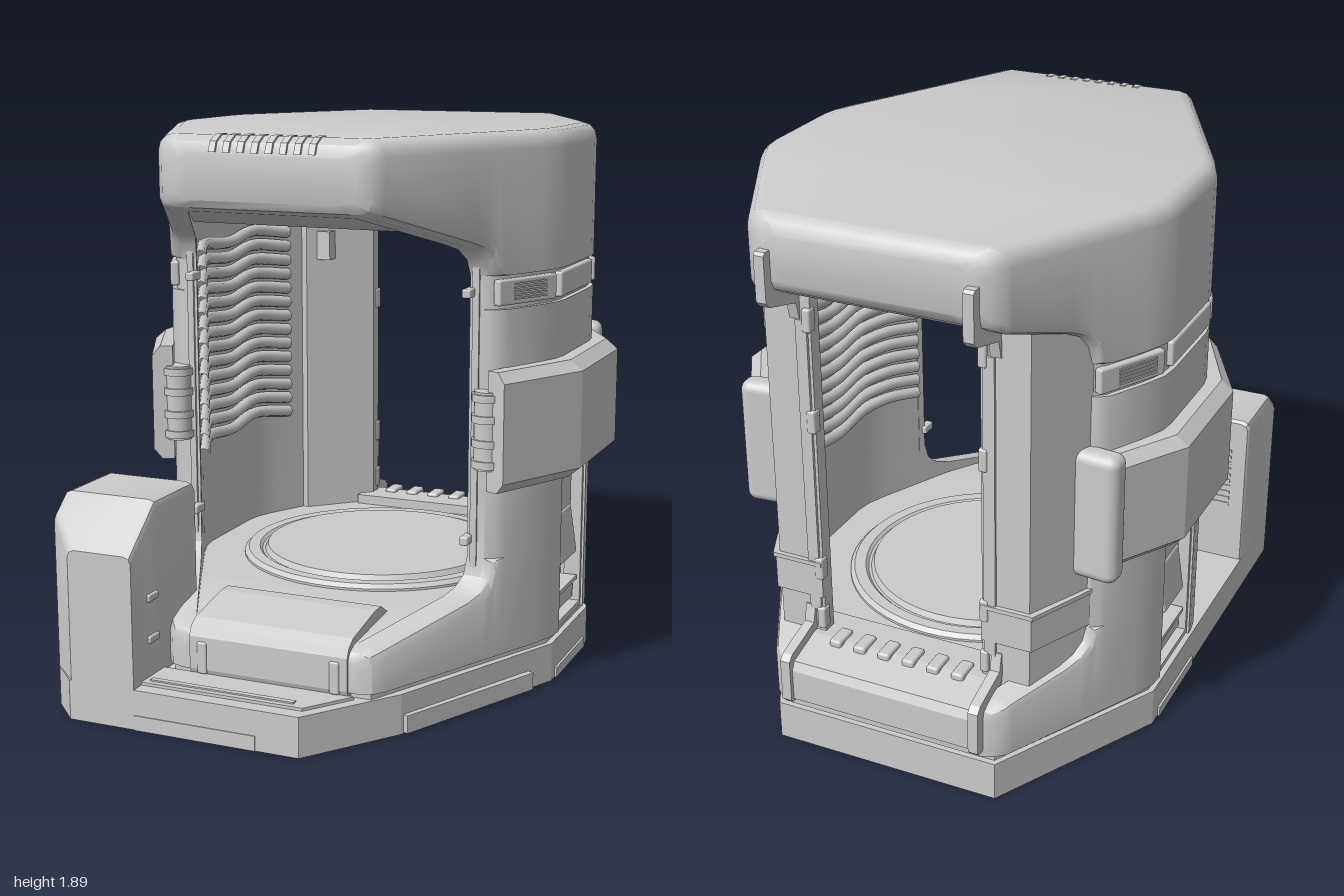
import * as THREE from 'three';
import { toCreasedNormals } from 'three/addons/utils/BufferGeometryUtils.js';
import { RoundedBoxGeometry } from 'three/addons/geometries/RoundedBoxGeometry.js';

const material = new THREE.MeshStandardMaterial({ color: 0xcccccc, roughness: 0.7 });

// Piecewise linear lookup in a table of [z, value], z descending
function at(table, z) {
  if (z >= table[0][0]) return table[0][1];
  for (let i = 1; i < table.length; i++) {
    const [z0, a] = table[i - 1], [z1, b] = table[i];
    if (z >= z1) return a + (b - a) * (z0 - z) / (z0 - z1);
  }
  return table[table.length - 1][1];
}

// Body half width, hood rim, hood top, lower rim and rim chamfer along z
const WIDTH = [[0.8, 0.31], [0.785, 0.355], [0.75, 0.385], [0.14, 0.678], [0.06, 0.71], [0, 0.72],
  [-0.31, 0.72], [-0.37, 0.712], [-0.45, 0.677], [-0.92, 0.425], [-0.95, 0.39], [-0.965, 0.35]];
const HOOD_RIM = [[0.8, 1.685], [0.785, 1.66], [0.75, 1.645], [0.41, 1.535], [0.36, 1.515], [0.325, 1.48], [0.31, 1.43],
  [-0.6, 1.43], [-0.615, 1.49], [-0.65, 1.535], [-0.7, 1.56], [-0.9, 1.62], [-0.95, 1.65], [-0.965, 1.68]];
const HOOD_TOP = [[0.8, 1.83], [0.785, 1.865], [0.75, 1.885], [-0.92, 1.885], [-0.95, 1.865], [-0.965, 1.83]];
const LOW_RIM = [[0.8, 0.265], [0.785, 0.285], [0.75, 0.3], [0.41, 0.375], [0.36, 0.395], [0.325, 0.43], [0.31, 0.49], [0.3099, 0.73],
  [-0.5999, 0.73], [-0.6, 0.49], [-0.615, 0.44], [-0.65, 0.405], [-0.7, 0.385], [-0.9, 0.345], [-0.95, 0.325], [-0.965, 0.3]];
const CHAMFER = [[0.31, 0.04], [0.295, 0.016], [0.27, 0], [-0.57, 0], [-0.585, 0.01], [-0.6, 0.025]];
const width = z => at(WIDTH, z);
const stations = (...tables) => [...new Set(tables.flat().map(p => p[0]))].sort((a, b) => a - b);

// Capped solid through rings of [x, y, z]
function loft(rings, crease = 0.6) {
  const n = rings[0].length, idx = [], pos = rings.flat(2);
  for (let k = 0; k < rings.length - 1; k++) for (let i = 0; i < n; i++) {
    const j = (i + 1) % n, a = k * n + i, b = k * n + j, c = b + n, d = a + n;
    idx.push(a, b, c, a, c, d);
  }
  [[0, true], [rings.length - 1, false]].forEach(([k, back]) => {
    const flat = rings[k].map(p => new THREE.Vector2(p[0], p[1]));
    const sign = Math.sign(THREE.ShapeUtils.area(flat));
    for (const t of THREE.ShapeUtils.triangulateShape(flat, [])) {
      const same = Math.sign(THREE.ShapeUtils.area(t.map(i => flat[i]))) === sign;
      const [a, b, c] = t.map(i => i + k * n);
      if (same !== back) idx.push(a, b, c); else idx.push(a, c, b);
    }
  });
  // Turn the faces outward when the enclosed volume is negative
  const v = i => new THREE.Vector3().fromArray(pos, i * 3);
  let volume = 0;
  for (let i = 0; i < idx.length; i += 3) volume += v(idx[i]).dot(v(idx[i + 1]).cross(v(idx[i + 2])));
  if (volume < 0) idx.reverse();
  const g = new THREE.BufferGeometry();
  g.setAttribute('position', new THREE.Float32BufferAttribute(pos, 3));
  g.setIndex(idx);
  return toCreasedNormals(g, crease);
}

const box = (x0, x1, y0, y1, z0, z1) =>
  new THREE.BoxGeometry(x1 - x0, y1 - y0, z1 - z0).translate((x0 + x1) / 2, (y0 + y1) / 2, (z0 + z1) / 2);
const rounded = (w, h, d, r, x, y, z) => new RoundedBoxGeometry(w, h, d, 3, r).translate(x, y, z);
const shape = pts => new THREE.Shape(pts.map(p => new THREE.Vector2(...p)));
// Plan outline [x, z] raised from y0 to y1, with optional holes
const prism = (pts, y0, y1, holes = []) => {
  const s = shape(pts.map(([x, z]) => [x, -z]));
  s.holes.push(...holes);
  return new THREE.ExtrudeGeometry(s, { depth: y1 - y0, bevelEnabled: false, curveSegments: 28 }).rotateX(-Math.PI / 2).translate(0, y0, 0);
};
// Side outline [z, y] extruded from x0 to x1
const slab = (pts, x0, x1) => new THREE.ExtrudeGeometry(shape(pts),
  { depth: x1 - x0, bevelEnabled: false }).rotateY(-Math.PI / 2).translate(x1, 0, 0);
// Move a geometry (local x outward) onto the outer wall at z
function onWall(geo, z, y, out = 0) {
  const slope = (width(z + 0.01) - width(z - 0.01)) / 0.02;
  return geo.rotateY(Math.atan(slope)).translate(width(z) + out, y, z);
}
function mirrorX(geo) {
  const g = geo.index ? geo.toNonIndexed() : geo.clone();
  g.scale(-1, 1, 1);
  for (const a of Object.values(g.attributes)) for (let i = 0; i < a.count; i += 3) for (let c = 0; c < a.itemSize; c++) {
    const t = a.getComponent(i + 1, c);
    a.setComponent(i + 1, c, a.getComponent(i + 2, c));
    a.setComponent(i + 2, c, t);
  }
  return g;
}

export function createModel() {
  const model = new THREE.Group();
  const add = (name, geo) => {
    const m = new THREE.Mesh(geo, material);
    m.name = name;
    model.add(m);
  };
  const pair = (name, geo) => { add(name + 'Left', geo); add(name + 'Right', mirrorX(geo)); };
  const both = (half, z) => [...half, ...half.map(([x, y]) => [-x, y]).reverse()].map(([x, y]) => [x, y, z]);

  // Hood with rim sweeping down into the columns, hollow above the ceiling dish
  add('hood', loft(stations(WIDTH, HOOD_RIM, CHAMFER).map(z => {
    const w = width(z), rim = at(HOOD_RIM, z), top = at(HOOD_TOP, z), c = at(CHAMFER, z);
    const ceil = z <= 0.27 && z >= -0.57 ? 1.7 : Math.max(rim, 1.57);
    return both([[w - 0.1, ceil], [w - 0.1, rim], [w - c, rim], [w - c * 0.3, rim + c * 0.3], [w, rim + c], [w, top - 0.055],
      [w - 0.007, top - 0.027], [w - 0.027, top - 0.007], [w - 0.055, top]], z);
  })));
  for (let i = 0; i < 8; i++) {
    const x = -0.17 + i * 0.048;
    add('hoodVent', slab([[0.72, 1.888], [0.76, 1.886], [0.793, 1.868], [0.807, 1.835], [0.78, 1.835], [0.72, 1.87]], x - 0.011, x + 0.011));
  }

  // Lower body with a recessed bay in each side
  const bay = [[-0.0199], [-0.0201], [-0.3099], [-0.3101]];
  add('lowerBody', loft(stations(WIDTH, LOW_RIM, CHAMFER, bay).map(z => {
    const w = width(z), rim = at(LOW_RIM, z), floor = Math.min(rim, 0.33), c = at(CHAMFER, z), foot = Math.min(rim, 0.49);
    const o = z < -0.02 && z > -0.31 ? w - 0.085 : w;
    return both([[w - 0.1, floor], [w - 0.1, rim], [o - c, rim], [o - c, foot], [o - c * 0.3, foot - c * 0.3], [o, foot - c], [o, 0.155]], z);
  }), 0.5));

  // Side columns and the recessed seam band above them
  const wall = (inset, y0, y1) => loft([-0.6, -0.585, -0.57, -0.45, -0.37, -0.31, 0, 0.06, 0.14, 0.27, 0.295, 0.31].map(z => {
    const w = width(z), o = w - inset - at(CHAMFER, z);
    return [[w - 0.1, y0, z], [o, y0, z], [o, y1, z], [w - 0.1, y1, z]];
  }));
  pair('column', wall(0, 0.73, 1.32));
  pair('seamBand', wall(0.018, 1.32, 1.43));
  for (const [z, len] of [[0.185, 0.27], [-0.145, 0.36], [-0.49, 0.26]])
    pair('seamClip', onWall(new RoundedBoxGeometry(0.03, 0.085, len, 2, 0.008), z, 1.375, -0.014));
  for (const z of [0.185, -0.48]) for (let i = 0; i < 5; i++)
    pair('clipGrille', onWall(new THREE.BoxGeometry(0.012, 0.006, 0.15), z, 1.352 + i * 0.012, 0.002));

  // Base plate with pads
  add('base', prism([[-0.72, 0.9], [-0.62, 1], [0.2, 1], [0.42, 0.7], [0.72, 0.06], [0.72, -0.37], [0.4, -0.96],
    [-0.4, -0.96], [-0.72, -0.37]], 0, 0.135));
  add('baseSeam', prism([[-0.35, 0.78], [0.35, 0.78], [0.7, 0.06], [0.7, -0.37], [0.39, -0.94], [-0.39, -0.94], [-0.7, -0.37], [-0.7, 0.06]], 0.13, 0.16));
  add('frontPad', box(-0.38, 0.05, 0, 0.05, 0.97, 1.003));
  add('sidePad', onWall(new THREE.BoxGeometry(0.03, 0.06, 0.58), 0.43, 0.035, 0.014));
  pair('bayPad', box(0.7, 0.728, 0, 0.035, -0.32, 0.02));
  add('frontLedge', prism([[-0.38, 0.8], [-0.38, 0.95], [0.19, 0.95], [0.3, 0.8]], 0.13, 0.145));
  add('ledgeRail', box(-0.36, 0.15, 0.14, 0.15, 0.91, 0.93));

  // Front drawer and its latches
  add('drawer', slab([[0.8, 0.14], [0.808, 0.16], [0.808, 0.27], [0.795, 0.3], [0.76, 0.322], [0.58, 0.357], [0.53, 0.357], [0.47, 0.32], [0.47, 0.14]], -0.28, 0.28));
  pair('drawerLatch', rounded(0.035, 0.11, 0.02, 0.008, 0.235, 0.2, 0.803));

  // Corner tower with slots and back grille
  add('tower', loft([[0.57, -0.715, 0.71], [0.58, -0.72, 0.72], [0.83, -0.72, 0.72], [0.9, -0.72, 0.66], [1, -0.612, 0.575]].map(([z, x, t]) =>
    [[x, 0.13, z], [-0.38, 0.13, z], [-0.38, t - 0.025, z], [-0.387, t - 0.007, z], [-0.405, t, z], [x + 0.025, t, z], [x + 0.007, t - 0.007, z], [x, t - 0.025, z]]), 0.6));
  for (const y of [0.27, 0.41]) add('towerSlot', rounded(0.016, 0.026, 0.065, 0.007, -0.378, y, 0.87));
  for (let i = 0; i < 10; i++) add('towerGrille', box(-0.66, -0.5, 0.36 + i * 0.025, 0.372 + i * 0.025, 0.566, 0.58));

  // Side belts with end blocks and front hinges
  pair('belt', loft([[0.575, 0.35, 0.64, 0.38], [0.7, 0.06, 0.805, 0.06], [0.7, -0.38, 0.805, -0.38], [0.575, -0.59, 0.67, -0.6]]
    .map(([xi, zi, xo, zo]) => [[0, 0.73], [0.6, 0.73], [1, 0.765], [1, 1.095], [0.6, 1.13], [0, 1.13]]
      .map(([t, y]) => [xi + (xo - xi) * t, y, zi + (zo - zi) * t])), 0.3));
  pair('beltEnd', new RoundedBoxGeometry(0.165, 0.45, 0.09, 3, 0.035).rotateY(0.1).translate(0.597, 0.925, -0.617));
  pair('hinge', new THREE.CylinderGeometry(0.045, 0.045, 0.26, 20).translate(0.567, 0.93, 0.325));
  for (const y of [0.82, 0.89, 0.97, 1.04])
    pair('hingeCollar', new THREE.CylinderGeometry(0.053, 0.053, 0.025, 20).translate(0.567, y, 0.325));

  // Doors and chutes in the side bays
  const frame = shape([[-0.31, 0.16], [-0.02, 0.16], [-0.02, 0.73], [-0.31, 0.73]]);
  frame.holes.push(shape([[-0.295, 0.18], [-0.035, 0.18], [-0.035, 0.69], [-0.055, 0.71], [-0.275, 0.71], [-0.295, 0.69]]));
  pair('bayFrame', new THREE.ExtrudeGeometry(frame, { depth: 0.06, bevelEnabled: false }).rotateY(-Math.PI / 2).translate(0.712, 0, 0));
  pair('bayDoor', rounded(0.05, 0.3, 0.23, 0.015, 0.655, 0.55, -0.165));
  pair('bayHandle', new RoundedBoxGeometry(0.04, 0.18, 0.19, 2, 0.012).rotateZ(0.15).translate(0.678, 0.46, -0.165));
  pair('bayChute', slab([[-0.28, 0.2], [-0.05, 0.2], [-0.05, 0.27], [-0.28, 0.27]], 0.63, 0.69));
  pair('chuteLip', box(0.63, 0.705, 0.265, 0.28, -0.28, -0.05));

  // Rear panels with bands and rails
  const rear = o => [[0.57 + o, -0.58], [0.455 + o, -0.815 - o], [0.29, -0.815 - o], [0.29, -0.765], [0.49, -0.57]];
  pair('rearPanel', prism(rear(0), 0.3, 1.6));
  pair('rearBand', prism(rear(0.01), 0.5, 0.63));
  pair('rearBandLip', prism(rear(0.016), 0.62, 0.635));
  pair('rearRail', box(0.3, 0.34, 0.45, 1.5, -0.825, -0.8));
  for (const y of [0.42, 0.61, 1.15, 1.5]) pair('railCatch', rounded(0.03, 0.08, 0.04, 0.008, 0.3, y, -0.81));
  pair('panelBlock', box(0.405, 0.475, 1.32, 1.43, -0.69, -0.6));

  // Rear arms gripping hood and base, mirrored vertically
  const arm = [[-1, 1.77], [-0.99, 1.78], [-0.95, 1.78], [-0.95, 1.65], [-0.82, 1.61], [-0.8, 1.5], [-0.82, 1.5], [-0.835, 1.56], [-0.98, 1.6], [-1, 1.62]];
  pair('upperArm', slab(arm, 0.325, 0.36));
  pair('lowerArm', slab(arm.map(([z, y]) => [z, 1.96 - y]), 0.325, 0.36));
  add('rearSill', slab([[-0.7, 0.25], [-0.7, 0.365], [-0.84, 0.365], [-0.97, 0.33], [-0.985, 0.3], [-0.985, 0.19], [-0.95, 0.17]], -0.33, 0.33));
  for (let i = 0; i < 6; i++) add('sillTooth', rounded(0.045, 0.03, 0.09, 0.01, -0.225 + i * 0.09, 0.363, -0.83));

  // Round floor plate, and a ceiling plate holding a concave dish
  const lathe = pts => toCreasedNormals(new THREE.LatheGeometry(pts.map(p => new THREE.Vector2(...p)), 56), 0.5).translate(0, 0, -0.15);
  add('floorPlate', lathe([[0.5, 0.32], [0.5, 0.338], [0.485, 0.352], [0.445, 0.352], [0.435, 0.342], [0.425, 0.342], [0.415, 0.362], [0, 0.362]]));
  const edge = [-0.595, -0.37, 0.06, 0.305].map(z => [width(z) - 0.09, z]);
  add('ceilingPlate', prism([...edge, ...edge.map(([x, z]) => [-x, z]).reverse()], 1.568, 1.59,
    [new THREE.Path().absarc(0, 0.15, 0.4, 0, Math.PI * 2)]));
  add('ceilingDish', lathe([[0, 1.66], [0.12, 1.653], [0.24, 1.632], [0.33, 1.6], [0.37, 1.575], [0.38, 1.56], [0.42, 1.56], [0.43, 1.572]]));

  // Ribs lining the inner walls
  for (let i = 0; i < 14; i++) {
    const y = 0.74 + i * 0.054;
    const path = new THREE.CatmullRomCurve3([0.27, 0.15, 0.03, -0.15, -0.34, -0.5].map(z =>
      new THREE.Vector3(width(z) - 0.112, y + 0.012 * Math.sin(z * 14), z)));
    pair('wallRib', new THREE.TubeGeometry(path, 24, 0.022, 8));
  }

  // Front guide rods and knobs
  pair('guideRod', box(0.507, 0.53, 0.45, 1.5, 0.285, 0.318));
  for (const y of [1.375, 0.555]) pair('rodKnob', rounded(0.03, 0.03, 0.06, 0.006, 0.5, y, 0.33));
  return model;
}
